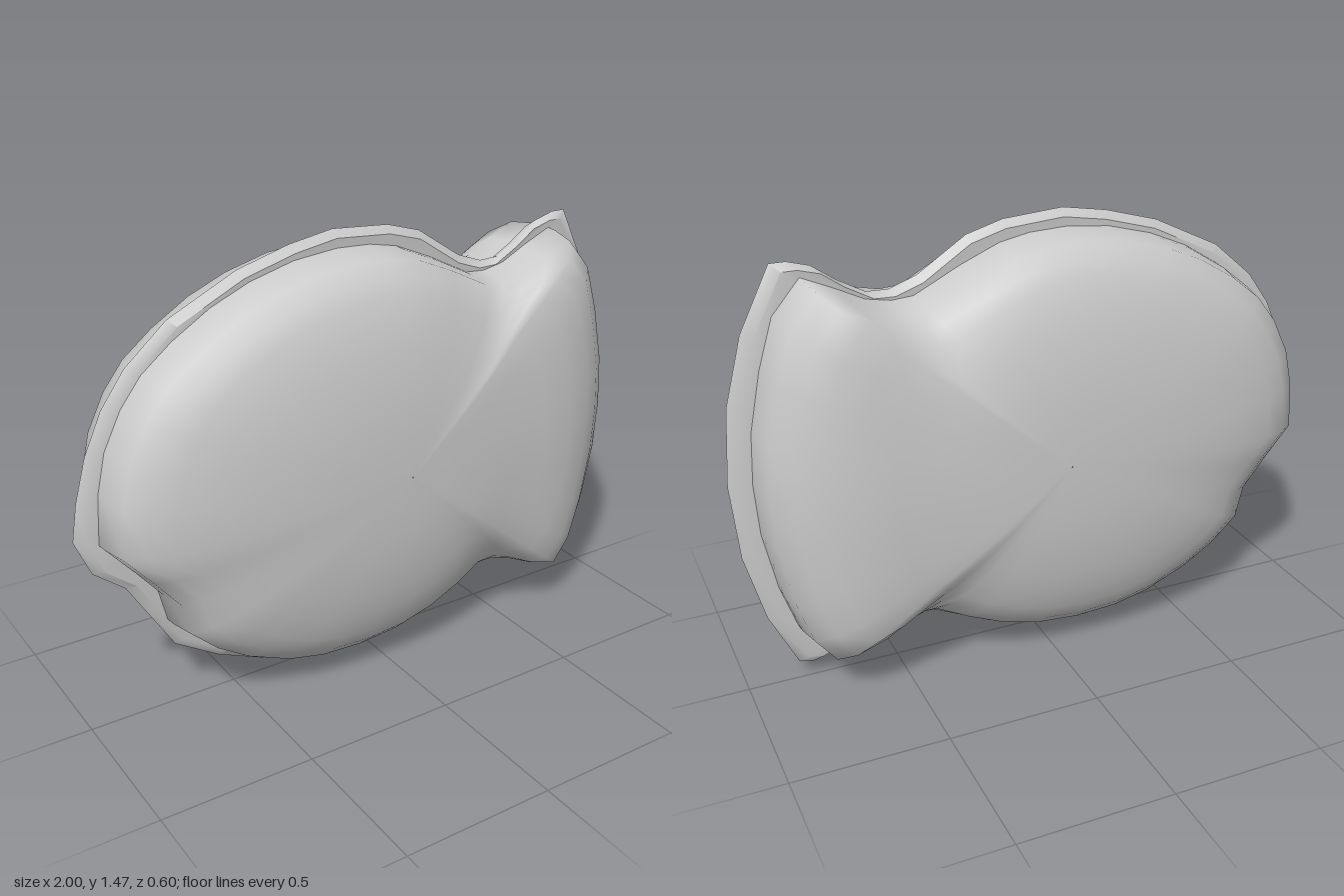
import * as THREE from 'three';
import { toCreasedNormals } from 'three/addons/utils/BufferGeometryUtils.js';

const CY = 0.73; // height of the centre both outlines shrink towards

// Outlines run clockwise seen from the front, starting at the mouth.
const BODY = [
  [-0.93, 0.64], [-0.92, 0.8], [-0.89, 0.93], [-0.83, 1.05], [-0.76, 1.14], [-0.66, 1.22],
  [-0.53, 1.3], [-0.4, 1.355], [-0.25, 1.395], [-0.1, 1.41], [0.02, 1.405], [0.12, 1.385],
  [0.25, 1.33], [0.4, 1.255], [0.47, 1.25], [0.55, 1.265], [0.64, 1.31], [0.74, 1.355],
  [0.83, 1.25], [0.88, 1.09], [0.92, 0.9], [0.93, 0.73], [0.92, 0.56], [0.88, 0.36],
  [0.83, 0.21], [0.76, 0.12], [0.65, 0.15], [0.55, 0.195], [0.48, 0.215], [0.41, 0.213],
  [0.3, 0.16], [0.18, 0.11], [0.05, 0.075], [-0.1, 0.062], [-0.25, 0.07], [-0.38, 0.1],
  [-0.53, 0.165], [-0.64, 0.235], [-0.73, 0.32], [-0.755, 0.43], [-0.84, 0.535],
];
const RIM = [
  [-1, 0.66], [-0.98, 0.78], [-0.94, 0.92], [-0.88, 1.05], [-0.8, 1.16], [-0.66, 1.28],
  [-0.43, 1.39], [-0.25, 1.44], [-0.1, 1.465], [0.1, 1.45], [0.22, 1.415], [0.38, 1.31],
  [0.47, 1.278], [0.54, 1.28], [0.63, 1.33], [0.7, 1.38], [0.77, 1.4], [0.82, 1.4],
  [0.92, 1.2], [0.98, 0.98], [1, 0.73], [0.98, 0.48], [0.92, 0.25], [0.83, 0.06],
  [0.78, 0.05], [0.7, 0.09], [0.58, 0.16], [0.48, 0.175], [0.38, 0.145], [0.16, 0.04],
  [-0.1, 0], [-0.39, 0.045], [-0.55, 0.115], [-0.7, 0.21], [-0.79, 0.36], [-0.85, 0.46],
  [-0.95, 0.54],
];

// Lofts shrinking copies of an outline from the back centre round to the front centre.
// profile: [scale, z] from the outer edge (z = 0) to the centre.
function pillow(outline, profile, depthAt) {
  const rings = [...profile.slice(1).reverse().map(([s, z]) => [s, -z]), ...profile];
  const n = outline.length, pos = [], index = [];
  for (const [s, z] of rings) {
    for (const [px, py] of outline) {
      const x = px * s, dy = (py - CY) * s;
      pos.push(x, CY + dy, z * depthAt(x, dy, s));
    }
  }
  for (let r = 0; r < rings.length - 1; r++) {
    for (let i = 0; i < n; i++) {
      const a = r * n + i, b = r * n + (i + 1) % n, c = a + n, d = b + n;
      index.push(a, c, b, b, c, d);
    }
  }
  const geo = new THREE.BufferGeometry();
  geo.setAttribute('position', new THREE.Float32BufferAttribute(pos, 3));
  geo.setIndex(index);
  geo.computeVertexNormals();
  return geo;
}

export function createModel() {
  const group = new THREE.Group();
  const material = new THREE.MeshStandardMaterial({ color: 0xcccccc });
  const add = (name, geo) => {
    const mesh = new THREE.Mesh(geo, material);
    mesh.name = name;
    group.add(mesh);
  };

  // Puffed body, pinched where it meets the tail and a little fuller in the tail
  const puff = [
    [1, 0], [0.995, 0.06], [0.975, 0.15], [0.91, 0.195], [0.83, 0.225], [0.72, 0.25],
    [0.6, 0.27], [0.45, 0.286], [0.3, 0.295], [0.15, 0.299], [0.002, 0.3],
  ];
  add('puffedBody', pillow(BODY, puff, (x, dy, s) => {
    const neck = Math.exp(-(((x - 0.42) / 0.12) ** 2)) * Math.min(1, (dy / 0.5) ** 2);
    const tail = Math.exp(-(((x - 0.7) / 0.13) ** 2)) * (s < 0.95 ? 1 : 0);
    return 1 - 0.12 * neck + 0.08 * tail;
  }));

  // Thin pressed seam around the middle, tapering to a sharp edge
  const seam = [[1, 0], [0.965, 0.022], [0.9, 0.02], [0.8, 0.02]];
  add('seamRim', toCreasedNormals(pillow(RIM, seam, () => 1), 0.7));

  return group;
}
